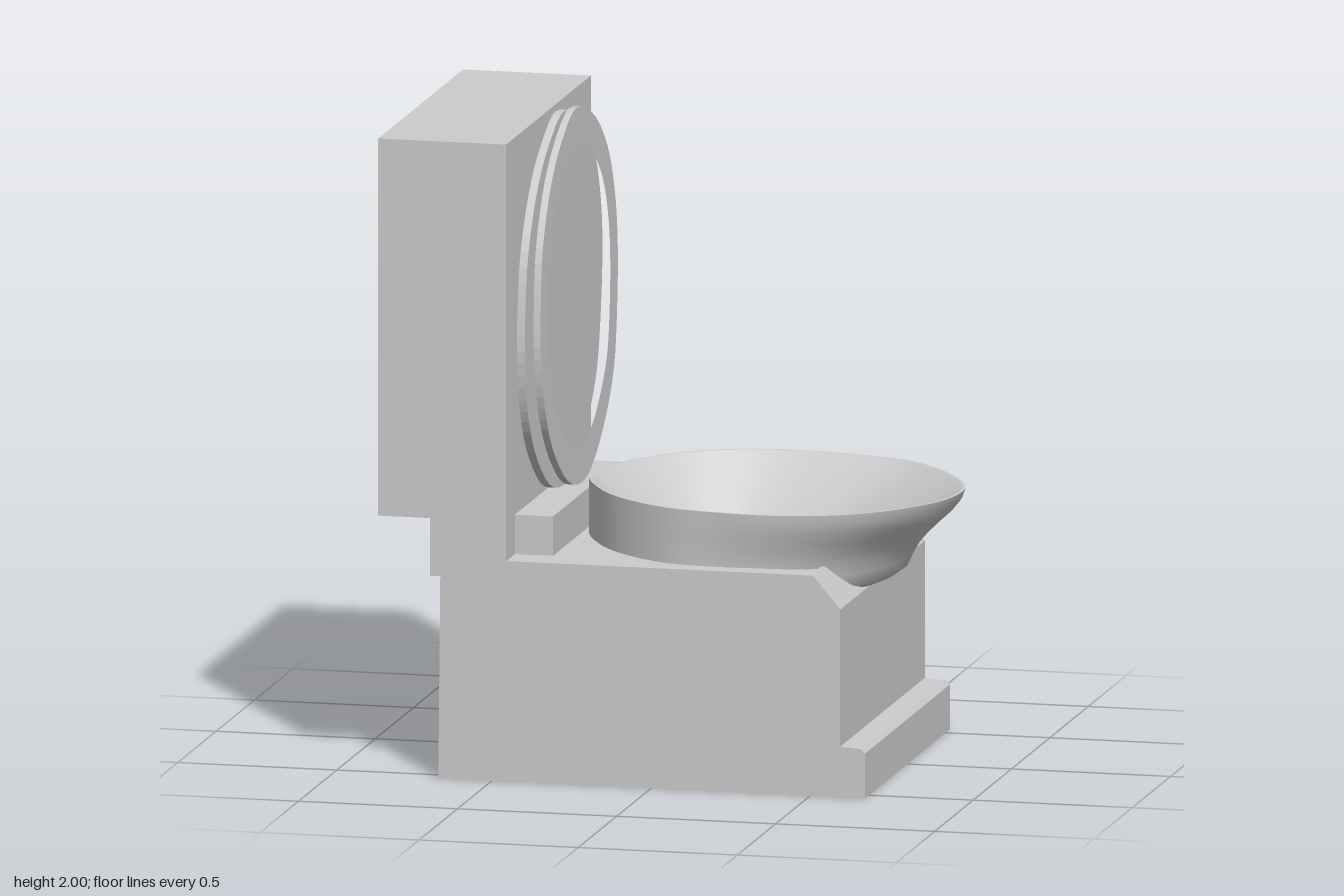
import * as THREE from 'three';

const material = new THREE.MeshStandardMaterial({ color: 0xcccccc });
const CENTRE = new THREE.Vector3(0.27, 0, 0.01);
const DRAIN = new THREE.Vector3(0.06, 0, -0.055);
const HALF_WIDTH = 0.553;
const DECK_Y = 0.687;

// Slightly skewed oval shared by bowl, seat and lid, as points on the xz plane
const OUTLINE = new THREE.CatmullRomCurve3([
  [-0.32, 0.01], [-0.25, -0.23], [-0.11, -0.4], [0.06, -0.48], [0.21, -0.497], [0.39, -0.477],
  [0.58, -0.42], [0.735, -0.27], [0.83, -0.1], [0.85, 0.02], [0.81, 0.2], [0.67, 0.39],
  [0.53, 0.48], [0.37, 0.518], [0.21, 0.511], [0.03, 0.47], [-0.155, 0.34], [-0.27, 0.17],
].map(([x, z]) => new THREE.Vector3(x, 0, z)), true).getPoints(72).slice(0, -1);

const scaled = (s) => OUTLINE.map((p) => p.clone().sub(CENTRE).multiplyScalar(s).add(CENTRE));

function add(group, name, geometry) {
  const mesh = new THREE.Mesh(geometry, material);
  mesh.name = name;
  group.add(mesh);
  return mesh;
}

// Smooth skin through closed rings of equal point count
function loft(rings) {
  const n = rings[0].length;
  const index = [];
  for (let r = 0; r < rings.length - 1; r++) {
    for (let j = 0; j < n; j++) {
      const k = (j + 1) % n;
      const a = r * n + j, b = r * n + k, c = b + n, d = a + n;
      index.push(a, d, c, a, c, b);
    }
  }
  const geometry = new THREE.BufferGeometry().setFromPoints(rings.flat());
  geometry.setIndex(index);
  geometry.computeVertexNormals();
  return geometry;
}

// Base and tank share one side profile; the deck has an opening for the bowl
function createBody() {
  const group = new THREE.Group();
  group.name = 'body';
  const profile = [
    [-0.455, DECK_Y], [-0.455, 1.985], [-0.857, 1.985], [-0.857, 0.81], [-0.695, 0.81],
    [-0.695, 0.63], [-0.662, 0.63], [-0.668, 0], [0.673, 0], [0.673, 0.14],
    [0.66, 0.153], [0.595, 0.158], [0.595, 0.585], [0.51, DECK_Y],
  ].map(([x, y]) => new THREE.Vector2(x, y));

  const wall = [];
  for (let i = 0; i < profile.length - 1; i++) {
    const [a, b] = [profile[i], profile[i + 1]];
    const at = (p, side) => new THREE.Vector3(p.x, p.y, side * HALF_WIDTH);
    wall.push(at(a, -1), at(b, -1), at(b, 1), at(a, -1), at(b, 1), at(a, 1));
  }
  const wallGeometry = new THREE.BufferGeometry().setFromPoints(wall);
  wallGeometry.computeVertexNormals();
  add(group, 'bodyWalls', wallGeometry);

  const side = new THREE.ShapeGeometry(new THREE.Shape(profile));
  add(group, 'leftSide', side).position.z = HALF_WIDTH;
  // The opposite side is the same panel with its faces turned round
  const back = side.clone();
  back.setIndex(Array.from(side.index.array).reverse());
  back.computeVertexNormals();
  add(group, 'rightSide', back).position.z = -HALF_WIDTH;

  const w = HALF_WIDTH;
  const deck = new THREE.Shape([
    [-0.455, -w], [0.51, -w], [0.51, w], [-0.455, w],
  ].map(([x, y]) => new THREE.Vector2(x, y)));
  deck.holes.push(new THREE.Path(scaled(0.93).map((p) => new THREE.Vector2(Math.min(p.x, 0.5), -p.z))));
  add(group, 'deck', new THREE.ShapeGeometry(deck).rotateX(-Math.PI / 2)).position.y = DECK_Y;
  return group;
}

function createBowl() {
  const group = new THREE.Group();
  group.name = 'bowl';
  const rimY = 0.86;

  // Outside: straight at the back and sides, tucking in under the front
  const under = new THREE.Vector3(0.3, 0, 0);
  const levels = [
    [0.565, 0.62], [0.575, 0.47], [0.595, 0.38], [0.615, 0.33], [0.65, 0.3], [0.69, 0.26],
    [0.725, 0.205], [0.76, 0.14], [0.795, 0.07], [0.83, 0.02], [rimY, 0],
  ];
  add(group, 'bowlOutside', loft(levels.map(([y, tuck]) => OUTLINE.map((p) => {
    const front = THREE.MathUtils.clamp(p.x / 0.85, 0, 1);
    return p.clone().lerp(under, tuck * Math.pow(front, 1.3)).setY(y);
  }))));

  // Narrow rim
  const atY = (points, y) => points.map((p) => p.clone().setY(y));
  const lip = scaled(0.982);
  add(group, 'bowlRim', loft([atY(OUTLINE, rimY), atY(lip, rimY)]));

  // Inside: the oval narrows to a round drain
  const bottom = 0.44;
  const circle = (r) => lip.map((p) => p.clone().sub(DRAIN).setLength(r).add(DRAIN));
  const drainEdge = circle(0.065);
  const rings = [];
  for (let i = 0; i <= 14; i++) {
    const t = 1 - i / 14;
    const y = bottom + (rimY - bottom) * Math.pow(t, 0.87);
    rings.push(drainEdge.map((p, j) => p.clone().lerp(lip[j], t).setY(y)));
  }
  add(group, 'bowlInside', loft(rings));
  add(group, 'drain', loft([
    atY(drainEdge, bottom), atY(circle(0.035), bottom - 0.03), atY(circle(0.001), bottom - 0.035),
  ]));
  return group;
}

// Upright oval panel, one face towards the bowl, with an optional opening
function uprightOval(thickness, opening) {
  const flat = (points) => points.map((p) => new THREE.Vector2(-p.z, 1.68 - p.x));
  const shape = new THREE.Shape(flat(scaled(0.995)));
  if (opening) shape.holes.push(new THREE.Path(flat(scaled(opening))));
  return new THREE.ExtrudeGeometry(shape, {
    depth: thickness, bevelEnabled: false,
  }).rotateY(Math.PI / 2);
}

export function createModel() {
  const model = new THREE.Group();
  model.name = 'toilet';
  model.add(createBody(), createBowl());

  // Hinge bar in front of the tank
  add(model, 'hingeBar', new THREE.BoxGeometry(0.12, 0.125, 0.88)).position.set(-0.395, 0.747, 0);

  // Raised lid, and the seat ring leaning back towards it
  add(model, 'lid', uprightOval(0.025)).position.set(-0.43, -0.012, 0);
  const seat = uprightOval(0.022, 0.8);
  seat.translate(0, -0.83, 0).rotateZ(0.017);
  add(model, 'seat', seat).position.set(-0.368, 0.83, 0);
  return model;
}
